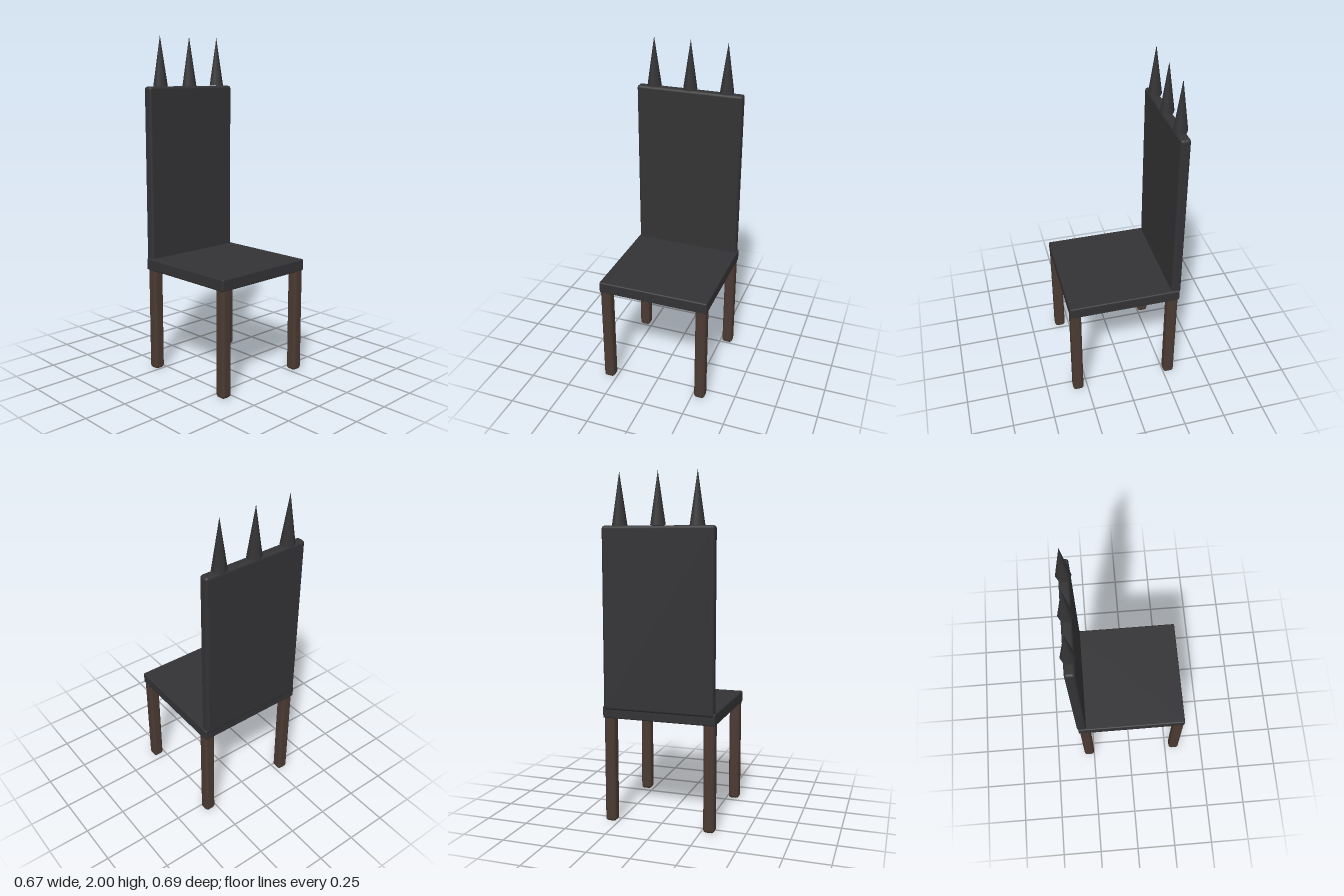
import * as THREE from 'three';
import { RoundedBoxGeometry } from 'three/addons/geometries/RoundedBoxGeometry.js';

export function createModel() {
  const group = new THREE.Group();
  const dark = new THREE.MeshStandardMaterial({ color: 0x333335 });
  const wood = new THREE.MeshStandardMaterial({ color: 0x4a3a32 });

  function add(name, geometry, material, x, y, z) {
    const mesh = new THREE.Mesh(geometry, material);
    mesh.name = name;
    mesh.position.set(x, y, z);
    group.add(mesh);
  }

  // Seat slab and tall back panel with softened edges
  add('seat', new RoundedBoxGeometry(0.666, 0.07, 0.665, 2, 0.008), dark, 0, 0.655, 0.01);
  add('backrest', new RoundedBoxGeometry(0.65, 1.038, 0.058, 2, 0.016), dark, 0, 1.189, -0.302);

  // Four square legs with heavily rounded edges
  const legGeometry = new RoundedBoxGeometry(0.066, 0.64, 0.066, 2, 0.018);
  for (const [side, x] of [['left', 0.296], ['right', -0.296]]) {
    add(side + 'FrontLeg', legGeometry, wood, x, 0.32, 0.309);
    add(side + 'BackLeg', legGeometry, wood, x, 0.32, -0.284);
  }

  // Three six-sided spikes along the top of the back
  const spikeGeometry = new THREE.ConeGeometry(0.043, 0.291, 6, 4);
  for (const [name, x] of [['leftSpike', 0.223], ['middleSpike', 0], ['rightSpike', -0.223]]) {
    add(name, spikeGeometry, dark, x, 1.8545, -0.303);
  }

  return group;
}
